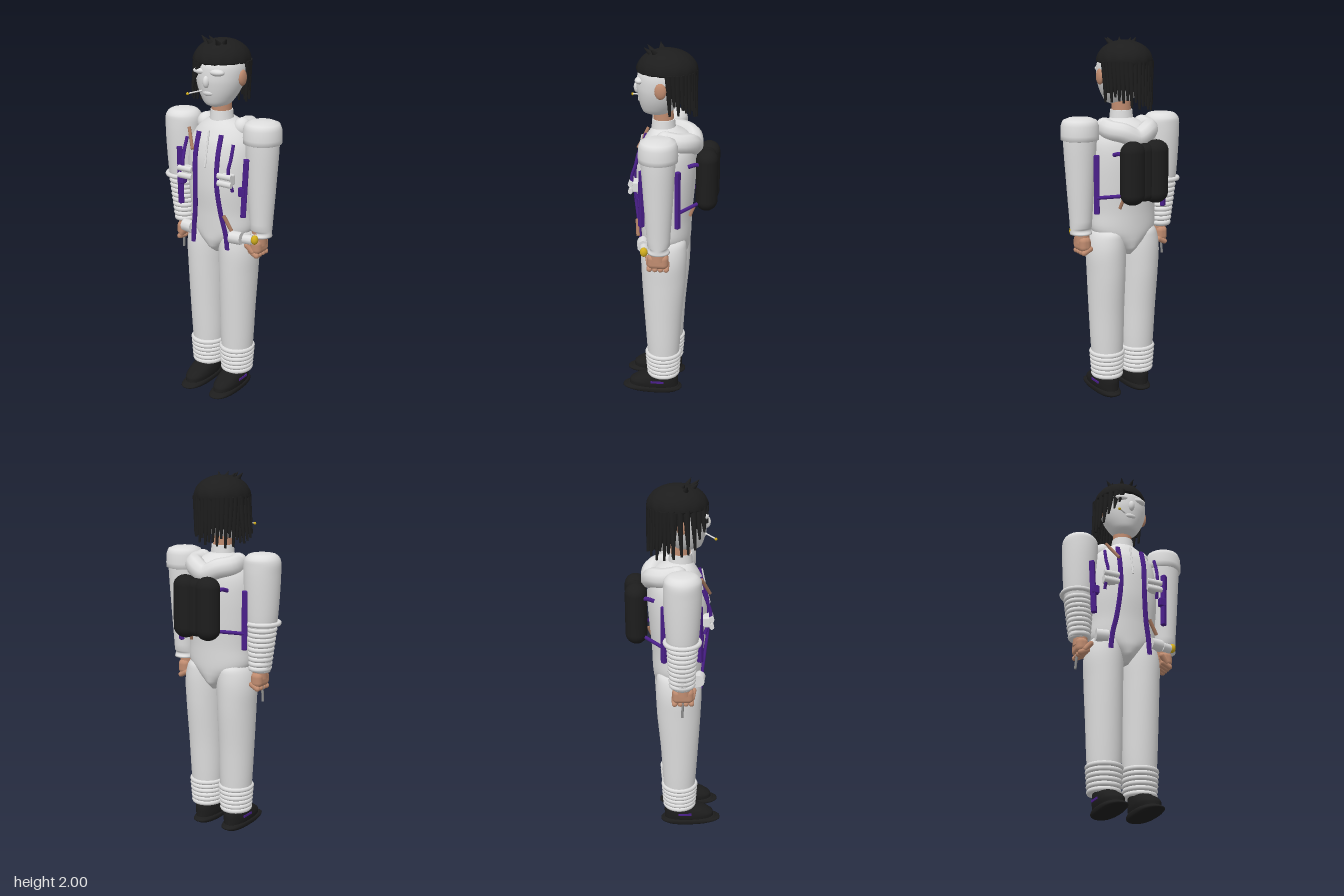
import * as THREE from 'three';
import { RoundedBoxGeometry } from 'three/addons/geometries/RoundedBoxGeometry.js';

const paint = (name, color) => Object.assign(new THREE.MeshStandardMaterial({ color }), { name });

export function createModel() {
  const white = paint('white fabric', 0xdedede), black = paint('black', 0x1d1d1d), skin = paint('skin', 0xc08c70);
  const purple = paint('purple strap', 0x4a1f8a), gold = paint('gold', 0xd2ae1e), tan = paint('tan strap', 0xa87a60);
  const grey = paint('grey metal', 0x8a8a8a);
  black.side = THREE.DoubleSide;
  const model = new THREE.Group();
  model.name = 'figure';
  const V = (p) => new THREE.Vector3(...p);

  const add = (name, geo, mat, pos = [0, 0, 0], scale = [1, 1, 1], rot = [0, 0, 0], parent = model) => {
    const m = new THREE.Mesh(geo, mat);
    m.name = name;
    m.position.set(...pos);
    m.scale.set(...scale);
    m.rotation.set(...rot);
    parent.add(m);
    return m;
  };

  // Smooth closed body from rows of [y, centre x, half width, front z, back z]
  const loft = (rows, power = 1, steps = 5, sides = 36) => {
    const a = new THREE.CatmullRomCurve3(rows.map((r) => V([r[0], r[1], r[2]])));
    const b = new THREE.CatmullRomCurve3(rows.map((r) => V([r[3], r[4], 0])));
    const n = (rows.length - 1) * steps, pos = [], idx = [];
    const bend = (v) => Math.sign(v) * Math.abs(v) ** power;
    for (let i = 0; i <= n; i++) {
      const p = a.getPoint(i / n), q = b.getPoint(i / n);
      for (let j = 0; j < sides; j++) {
        const t = (j / sides) * Math.PI * 2;
        pos.push(p.y + p.z * bend(Math.cos(t)), p.x, (q.x + q.y) / 2 + ((q.x - q.y) / 2) * bend(Math.sin(t)));
      }
    }
    const ends = [rows[0], rows[rows.length - 1]];
    ends.forEach((r) => pos.push(r[1], r[0], (r[3] + r[4]) / 2));
    const c = (n + 1) * sides;
    for (let j = 0; j < sides; j++) {
      const k = (j + 1) % sides;
      for (let i = 0; i < n; i++) {
        const d = i * sides, u = d + sides;
        idx.push(d + j, u + j, d + k, d + k, u + j, u + k);
      }
      idx.push(c, j, k, c + 1, n * sides + k, n * sides + j);
    }
    const g = new THREE.BufferGeometry();
    g.setAttribute('position', new THREE.Float32BufferAttribute(pos, 3));
    g.setIndex(idx);
    g.computeVertexNormals();
    return g;
  };

  // Round rod between two points
  const rod = (name, mat, from, to, r0, r1 = r0, flat = 1) => {
    const a = V(from), d = V(to).sub(a);
    const m = add(name, new THREE.CylinderGeometry(r1, r0, d.length(), 10), mat, a.clone().addScaledVector(d, 0.5).toArray(), [1, 1, flat]);
    m.quaternion.setFromUnitVectors(new THREE.Vector3(0, 1, 0), d.normalize());
    return m;
  };
  const tube = (name, mat, pts, r) => add(name, new THREE.TubeGeometry(new THREE.CatmullRomCurve3(pts.map(V)), 28, r, 10), mat);
  const ring = (name, x, y, z, rx, rz, t) =>
    add(name, new THREE.TorusGeometry(1, t / rx, 8, 32), white, [x, y, z], [rx, rz, rx], [Math.PI / 2, 0, 0]);

  // Suit body
  add('torso', loft([[0.83, 0, 0.025, 0.1, -0.05], [0.87, 0, 0.06, 0.15, -0.09], [0.92, 0, 0.13, 0.165, -0.103],
    [0.97, 0, 0.185, 0.168, -0.108], [1.08, 0, 0.19, 0.175, -0.112], [1.22, 0, 0.2, 0.19, -0.125], [1.36, 0, 0.2, 0.19, -0.135],
    [1.46, 0, 0.185, 0.17, -0.13], [1.53, 0, 0.14, 0.135, -0.1], [1.58, 0, 0.06, 0.1, -0.02]]), white);
  add('zip', new RoundedBoxGeometry(0.01, 0.2, 0.008, 2, 0.003), white, [0, 1.43, 0.178], [1, 1, 1], [-0.2, 0, 0]);
  tube('hood', white, [[-0.13, 1.53, 0.02], [-0.13, 1.52, -0.05], [-0.08, 1.51, -0.1], [0, 1.48, -0.115],
    [0.08, 1.51, -0.1], [0.13, 1.52, -0.05], [0.13, 1.53, 0.02]], 0.055).scale.set(0.9, 1, 1);
  for (const s of [-1, 1]) add('hoodEnd', new THREE.SphereGeometry(0.055, 18, 12), white, [s * 0.117, 1.53, 0.02], [0.9, 1, 1]);
  add('collar', new THREE.CylinderGeometry(0.06, 0.066, 0.06, 32), white, [0, 1.59, 0.043]);
  add('neck', new THREE.CylinderGeometry(0.052, 0.055, 0.16, 28), skin, [0, 1.63, 0.043]);

  // Masked head
  add('head', loft([[1.645, 0, 0.03, 0.12, 0.02], [1.66, 0, 0.065, 0.15, 0], [1.7, 0, 0.095, 0.167, -0.035], [1.75, 0, 0.118, 0.178, -0.065],
    [1.8, 0, 0.13, 0.183, -0.085], [1.86, 0, 0.132, 0.178, -0.095], [1.92, 0, 0.11, 0.14, -0.07], [1.95, 0, 0.05, 0.09, 0]]), white);
  add('nose', new THREE.SphereGeometry(0.02, 16, 12), white, [0, 1.785, 0.18], [0.9, 1.6, 1]);
  add('mouth', new THREE.SphereGeometry(0.03, 16, 12), white, [0, 1.725, 0.158], [1.2, 0.6, 0.7]);
  for (const s of [-1, 1]) {
    add('brow', new THREE.SphereGeometry(0.035, 16, 12), white, [s * 0.05, 1.835, 0.158], [1.3, 0.55, 0.8]);
    add('ear', new THREE.SphereGeometry(0.04, 18, 14), skin, [s * 0.132, 1.8, 0.043], [0.4, 1.05, 0.78]);
  }
  rod('mouthStick', white, [-0.035, 1.735, 0.17], [-0.085, 1.722, 0.215], 0.004);
  add('stickTip', new THREE.SphereGeometry(0.008, 10, 8), gold, [-0.09, 1.72, 0.22]);

  // Hair cap: dome with a flat rim that drops towards the back
  const cap = new THREE.SphereGeometry(1, 48, 28), p = cap.attributes.position;
  for (let i = 0; i < p.count; i++) {
    const x = p.getX(i), y = p.getY(i), z = p.getZ(i), a = Math.atan2(z, x);
    const rough = 1 + 0.018 * Math.sin(a * 13) * Math.cos(y * 5) * (1 - y * y);
    const drop = 0.025 + 0.07 * Math.max(0, -z) + 0.008 * Math.sin(a * 17);
    p.setXYZ(i, x * 0.148 * rough, y > 0 ? y * 0.11 : y * drop, z * 0.16 * rough);
  }
  cap.computeVertexNormals();
  add('hairCap', cap, black, [-0.01, 1.88, 0.025]);
  for (const [x, z, dx, dz] of [[-0.07, 0.06, -0.04, 0.01], [-0.02, 0.09, -0.02, 0.04], [0.02, 0.09, 0.01, 0.05], [0.03, 0.07, 0.04, 0.03], [-0.04, 0.04, -0.03, 0.02]])
    rod('hairTuft', black, [x, 1.955, z], [x + dx, 2.0, z + dz], 0.022, 0.001);
  // Locks hang round the back, then a fringe on the right side
  for (let i = 0; i < 19; i++) {
    const a = Math.PI * (1.04 + (i / 18) * 0.92), c = Math.cos(a), s = Math.sin(a);
    const low = 1.64 + 0.05 * Math.max(0, c) + 0.022 * Math.sin(i * 2.7) + 0.01 * (i % 2);
    rod('backLock', black, [-0.01 + c * 0.135, 1.88, 0.02 + s * 0.135], [-0.01 + c * 0.135, low, 0.015 + s * 0.145], 0.021, 0.006);
  }
  for (const [x, z, low] of [[-0.16, 0, 1.64], [-0.155, 0.04, 1.65], [-0.15, 0.075, 1.66], [-0.135, 0.11, 1.68],
    [-0.115, 0.135, 1.73], [-0.09, 0.16, 1.76], [-0.065, 0.175, 1.8]])
    rod('fringeLock', black, [x + 0.015, 1.885, z - 0.01], [x - 0.008, low, z], 0.02, 0.006);

  for (const s of [-1, 1]) {
    // Legs, ankle rings and shoes
    add('leg', loft([[1.0, s * 0.1, 0.05, 0.11, -0.05], [0.95, s * 0.102, 0.09, 0.148, -0.09], [0.86, s * 0.107, 0.106, 0.156, -0.096],
      [0.72, s * 0.106, 0.104, 0.152, -0.09], [0.5, s * 0.103, 0.098, 0.14, -0.07], [0.3, s * 0.1, 0.092, 0.128, -0.058],
      [0.12, s * 0.1, 0.078, 0.115, -0.045]].reverse()), white);
    for (let i = 0; i < 6; i++) ring('ankleRing', s * 0.1, 0.125 + i * 0.026, 0.036, 0.077 + i * 0.002, 0.08 + i * 0.002, 0.014);
    add('sole', loft([[0.004, s * 0.098, 0.058, 0.235, -0.05], [0.01, s * 0.098, 0.064, 0.25, -0.058], [0.03, s * 0.098, 0.066, 0.25, -0.058],
      [0.038, s * 0.098, 0.06, 0.24, -0.052]], 0.8), black);
    add('shoe', loft([[0.035, s * 0.098, 0.06, 0.235, -0.05], [0.06, s * 0.098, 0.064, 0.232, -0.05], [0.088, s * 0.098, 0.062, 0.195, -0.05],
      [0.11, s * 0.098, 0.058, 0.145, -0.045], [0.135, s * 0.098, 0.055, 0.1, -0.038]], 0.85), black);
    add('shoeStripe', new THREE.BoxGeometry(0.008, 0.012, 0.075), purple, [s * 0.161, 0.076, 0.065]);

    // Arms: padded on the left, ribbed sleeve on the right
    const left = s > 0, sleeve = left
      ? [[0.96, 0.06], [1.0, 0.06], [1.25, 0.077], [1.5, 0.09], [1.57, 0.08]]
      : [[0.95, 0.05], [1.0, 0.056], [1.2, 0.078], [1.24, 0.086], [1.48, 0.1], [1.555, 0.098], [1.585, 0.075], [1.595, 0.03]];
    add('arm', loft(sleeve.map(([y, r]) => [y, s * 0.257, r, 0.04 + r, 0.04 - r])), white);
    if (left) {
      const pad = [[0.088, 1.47], [0.102, 1.475], [0.103, 1.5], [0.101, 1.55], [0.09, 1.578], [0.06, 1.59], [0, 1.593]];
      add('shoulderPad', new THREE.LatheGeometry(pad.map((q) => new THREE.Vector2(...q)), 36), white, [0.257, 0, 0.04]);
    } else {
      ring('elbowRing', -0.262, 1.22, 0.04, 0.09, 0.09, 0.013);
      for (let i = 0; i < 9; i++) ring('sleeveRing', -0.26 + i * 0.0012, 1.185 - i * 0.027, 0.04, 0.068 - i * 0.0026, 0.07 - i * 0.002, 0.015);
    }

    // Closed hands
    const hand = new THREE.Group();
    hand.name = 'hand';
    hand.position.set(s * 0.247, 0, 0.045);
    model.add(hand);
    add('wrist', new THREE.CylinderGeometry(0.038, 0.04, 0.08, 20), skin, [0, 0.95, 0], [1, 1, 1.15], [0, 0, 0], hand);
    add('palm', new RoundedBoxGeometry(0.066, 0.085, 0.115, 4, 0.028), skin, [0, 0.905, 0], [1, 1, 1], [0, 0, 0], hand);
    for (let i = 0; i < 4; i++)
      add('finger', new THREE.CapsuleGeometry(0.0155, 0.042, 4, 10), skin, [-s * 0.006, 0.868, 0.045 - i * 0.03], [1, 1, 1], [0, 0, s * 1.1], hand);
    add('thumb', new THREE.CapsuleGeometry(0.015, 0.045, 4, 10), skin, [-s * 0.025, 0.895, 0.055], [1, 1, 1], [0.3, 0, s * 0.7], hand);

    // Front harness straps and chest pouches
    for (const d of [-0.006, 0, 0.006])
      tube('frontStrap', purple, [[s * 0.072 + d, 1.51, 0.148], [s * 0.072 + d, 1.4, 0.181], [s * 0.07 + d, 1.25, 0.19], [s * 0.085 + d, 1.08, 0.172],
        [s * 0.105 + d, 0.97, 0.158], [s * 0.113 + d, 0.88, 0.152]], 0.008);
    tube('chestStrap', purple, [[s * 0.15, 1.47, 0.15], [s * 0.152, 1.4, 0.175], [s * 0.148, 1.33, 0.195], [s * 0.155, 1.22, 0.165]], 0.009);
    for (const y of [1.305, 1.265])
      rod('chestPouch', white, [s * 0.085, y, 0.2], [s * 0.172, y, 0.2], 0.016, 0.016, 0.8);
    add('pouchBack', new RoundedBoxGeometry(0.07, 0.06, 0.05, 2, 0.01), white, [s * 0.128, 1.285, 0.172]);
    // Side straps in front of and behind the arm
    add('sideStrap', new RoundedBoxGeometry(0.03, 0.32, 0.028, 2, 0.006), purple, [s * 0.212, 1.24, 0.135], [1, 1, 1], [0, s * 0.6, s * -0.05]);
    add('sideBuckle', new RoundedBoxGeometry(0.04, 0.05, 0.03, 2, 0.006), purple, [s * 0.2, 1.22, 0.14]);
    add('rearStrap', new RoundedBoxGeometry(0.03, 0.32, 0.024, 2, 0.006), purple, [s * 0.21, 1.24, -0.055], [1, 1, 1], [0, s * -0.6, 0]);
    rod('packStrap', purple, [s * 0.21, 1.17, -0.06], [s * 0.08, 1.19, -0.175], 0.01);
    tube('upperPackStrap', purple, [[s * 0.13, 1.4, -0.1], [s * 0.12, 1.41, -0.14], [s * 0.1, 1.4, -0.17]], 0.011);

    // Twin-lobed backpack
    add('packLobe', new THREE.CapsuleGeometry(0.059, 0.222, 10, 28), black, [s * 0.072, 1.31, -0.196], [1.16, 1, 1]);
    // Belt pouch
    rod('beltPouch', white, [s * 0.125, 0.955, 0.14], [s * 0.19, 0.955, 0.13], 0.035);
  }
  add('packCentre', new RoundedBoxGeometry(0.09, 0.31, 0.085, 5, 0.04), black, [0, 1.31, -0.196]);

  // Wrist dial, loose tabs and hanging cord
  rod('dialBand', white, [0.2, 0.955, 0.125], [0.25, 0.955, 0.115], 0.026);
  add('dial', new THREE.SphereGeometry(0.026, 18, 12), gold, [0.266, 0.96, 0.118], [0.75, 1, 0.8]);
  rod('chestTab', tan, [-0.14, 1.52, 0.145], [-0.082, 1.42, 0.195], 0.009);
  rod('hipTab', tan, [0.105, 1.08, 0.175], [0.15, 1.0, 0.165], 0.01);
  rod('rearTab', tan, [0.09, 1.16, -0.13], [0.1, 1.11, -0.11], 0.009);
  rod('cord', grey, [-0.262, 0.88, 0.045], [-0.27, 0.78, 0.04], 0.007);
  return model;
}
